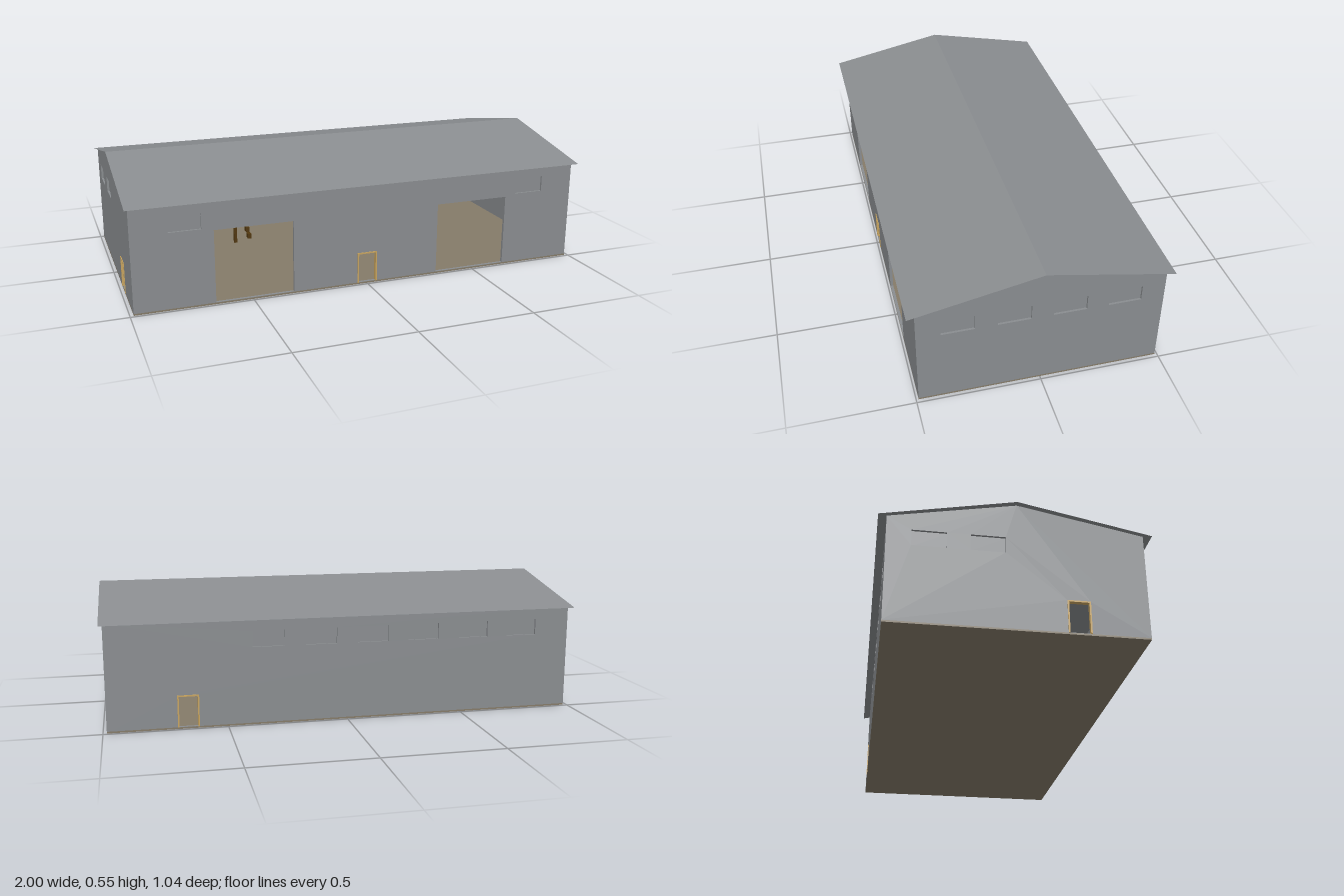
import * as THREE from 'three';

const mat = (name, color, side = THREE.FrontSide) => {
  const m = new THREE.MeshStandardMaterial({ color, side });
  m.name = name;
  return m;
};

export function createModel() {
  const wallGrey = mat('wall grey', 0x8a8d90);
  const roofGrey = mat('roof grey', 0x8a8d90, THREE.DoubleSide);
  const floorTan = mat('floor tan', 0x857b69);
  const frameTan = mat('door frame tan', 0xc8a560);
  const timber = mat('timber brown', 0x52380f);

  const model = new THREE.Group();
  model.name = 'warehouse';

  const HX = 0.985, HZ = 0.49, T = 0.012, BASE = 0.007, EAVE = 0.445, RIDGE = 0.54;

  const box = (parent, name, m, x0, x1, y0, y1, z0, z1) => {
    const b = new THREE.Mesh(new THREE.BoxGeometry(x1 - x0, y1 - y0, z1 - z0), m);
    b.position.set((x0 + x1) / 2, (y0 + y1) / 2, (z0 + z1) / 2);
    b.name = name;
    parent.add(b);
  };

  // A wall faces local +z with its outer face at z = 0
  const addWall = (name, half, ridge, { windows = [], doors = [], gates = [] }) => {
    const wall = new THREE.Group();
    wall.name = name;
    const pts = [[-half, BASE], [half, BASE], [half, EAVE]];
    if (ridge) pts.push([0, RIDGE]);
    pts.push([-half, EAVE]);
    const shape = new THREE.Shape(pts.map(p => new THREE.Vector2(...p)));
    const cut = (x0, x1, y0, y1) => shape.holes.push(new THREE.Path(
      [[x0, y0], [x0, y1], [x1, y1], [x1, y0]].map(p => new THREE.Vector2(...p))));

    // Recessed windows
    for (const x of windows) {
      cut(x - 0.066, x + 0.066, 0.325, 0.392);
      box(wall, 'windowPane', wallGrey, x - 0.066, x + 0.066, 0.325, 0.392, -T, -T + 0.003);
    }
    // Open doorways with slim frames
    for (const x of doors) {
      cut(x - 0.044, x + 0.044, BASE + 0.001, 0.14);
      for (const s of [-1, 1]) {
        const a = x + s * 0.044, b = x + s * 0.038;
        box(wall, 'doorJamb', frameTan, Math.min(a, b), Math.max(a, b), BASE, 0.14, -T - 0.002, 0.003);
      }
      box(wall, 'doorHead', frameTan, x - 0.044, x + 0.044, 0.134, 0.14, -T - 0.002, 0.003);
    }
    // Large open gateways
    for (const x of gates) cut(x - 0.165, x + 0.165, BASE + 0.001, 0.315);

    const panel = new THREE.Mesh(
      new THREE.ExtrudeGeometry(shape, { depth: T, bevelEnabled: false }), wallGrey);
    panel.position.z = -T;
    panel.name = name + 'Panel';
    wall.add(panel);
    model.add(wall);
    return wall;
  };

  const front = addWall('frontWall', HX - T, false,
    { windows: [-0.77, 0.77], doors: [0], gates: [-0.49, 0.49] });
  front.position.z = HZ;

  const back = addWall('backWall', HX - T, false,
    { windows: [-0.33, -0.11, 0.11, 0.33, 0.55, 0.77], doors: [-0.66] });
  back.rotation.y = Math.PI;
  back.position.z = -HZ;

  const leftGable = addWall('leftGable', HZ, true, { windows: [-0.33, -0.11, 0.11, 0.33] });
  leftGable.rotation.y = Math.PI / 2;
  leftGable.position.x = HX;

  const rightGable = addWall('rightGable', HZ, true, { windows: [-0.33, -0.11], doors: [0.225] });
  rightGable.rotation.y = -Math.PI / 2;
  rightGable.position.x = -HX;

  // Floor slab
  box(model, 'floor', floorTan, -HX, HX, 0, BASE, -HZ, HZ);

  // Thin sheet roof, one slope on each side of the ridge
  const eaveZ = 0.522, eaveY = 0.441, ridgeY = 0.546;
  for (const s of [1, -1]) {
    const slope = new THREE.Mesh(
      new THREE.PlaneGeometry(2, Math.hypot(eaveZ, ridgeY - eaveY)), roofGrey);
    slope.rotation.order = 'YXZ';
    slope.rotation.y = s > 0 ? 0 : Math.PI;
    slope.rotation.x = -Math.atan2(eaveZ, ridgeY - eaveY);
    slope.position.set(0, (eaveY + ridgeY) / 2, s * eaveZ / 2);
    slope.name = s > 0 ? 'frontRoof' : 'backRoof';
    model.add(slope);
  }

  // Timber loft in the back corner, on posts
  const loft = new THREE.Group();
  loft.name = 'loft';
  model.add(loft);
  const lz = -0.17, inX = -HX + T, inZ = -HZ + T;
  box(loft, 'loftDeck', timber, inX, -0.345, 0.2, 0.25, inZ, lz);
  box(loft, 'loftBeam', frameTan, inX, -0.345, 0.193, 0.2, inZ, lz);
  for (const x of [-0.96, -0.775, -0.592, -0.405])
    box(loft, 'loftPost', timber, x - 0.007, x + 0.007, BASE, 0.193, lz - 0.014, lz);
  // Steps up the open end of the loft
  for (let i = 0; i < 8; i++)
    box(loft, 'stairStep', timber, -0.345, -0.328, 0.02 + i * 0.023, 0.043 + i * 0.023,
      lz - 0.03 - i * 0.03, lz - i * 0.03);

  return model;
}
